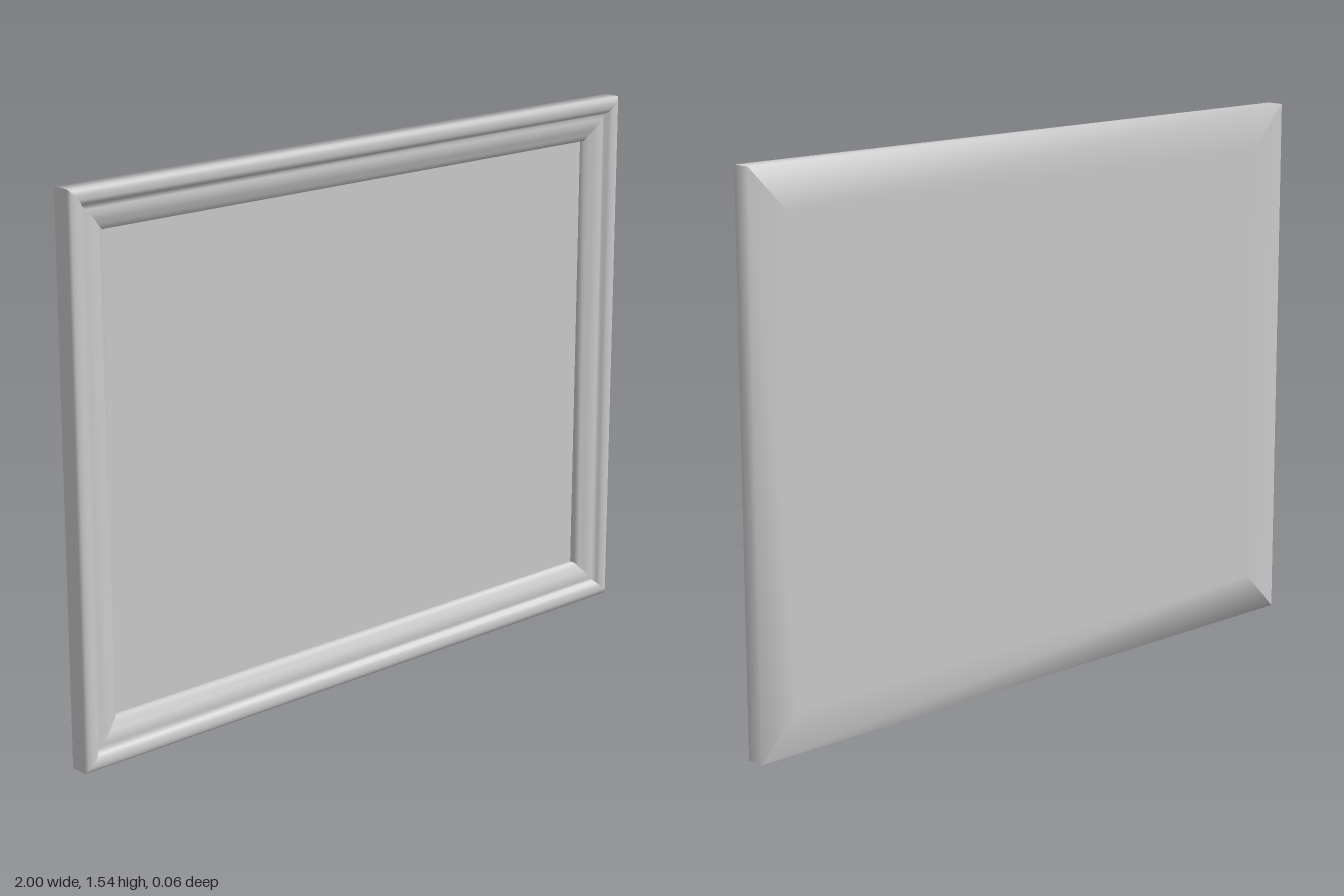
import * as THREE from 'three';

const HW = 1, HH = 0.77;      // half width and half height
const RAIL = 0.12;            // rail width

// Moulding section: [inset from the outer edge, z], from back inner edge round to the rebate
const PROFILE = [
  [RAIL, -0.03], [0, -0.03], [0, 0.022], [0.007, 0.028], [0.018, 0.03], [0.032, 0.029],
  [0.042, 0.024], [0.049, 0.014], [0.06, 0.016], [0.075, 0.016], [0.09, 0.012],
  [0.105, 0.005], [RAIL, 0], [RAIL, -0.015],
];

// One mitred rail between two corners (corner = signs of x and y)
function railGeometry(a, b) {
  const pos = [], index = [];
  for (const [inset, z] of PROFILE) {
    for (const [sx, sy] of [a, b]) pos.push(sx * (HW - inset), sy * (HH - inset), z);
  }
  for (let i = 0; i < PROFILE.length - 1; i++) {
    const k = i * 2;
    index.push(k, k + 1, k + 3, k, k + 3, k + 2);
  }
  const g = new THREE.BufferGeometry();
  g.setAttribute('position', new THREE.Float32BufferAttribute(pos, 3));
  g.setIndex(index);
  g.computeVertexNormals();
  return g;
}

export function createModel() {
  const model = new THREE.Group();
  model.name = 'pictureFrame';
  const grey = new THREE.MeshStandardMaterial({ color: 0xcccccc });
  grey.name = 'light grey';

  // Four mitred rails, counter-clockwise from the bottom
  const corners = [[-1, -1], [1, -1], [1, 1], [-1, 1]];
  ['bottomRail', 'leftRail', 'topRail', 'rightRail'].forEach((name, i) => {
    const rail = new THREE.Mesh(railGeometry(corners[i], corners[(i + 1) % 4]), grey);
    rail.name = name;
    rail.position.y = HH;
    model.add(rail);
  });

  // Recessed picture panel and backing, filling the opening
  const panel = new THREE.Mesh(
    new THREE.BoxGeometry(2 * (HW - RAIL), 2 * (HH - RAIL), 0.015), grey);
  panel.name = 'picturePanel';
  panel.position.set(0, HH, -0.0225);
  model.add(panel);

  return model;
}
